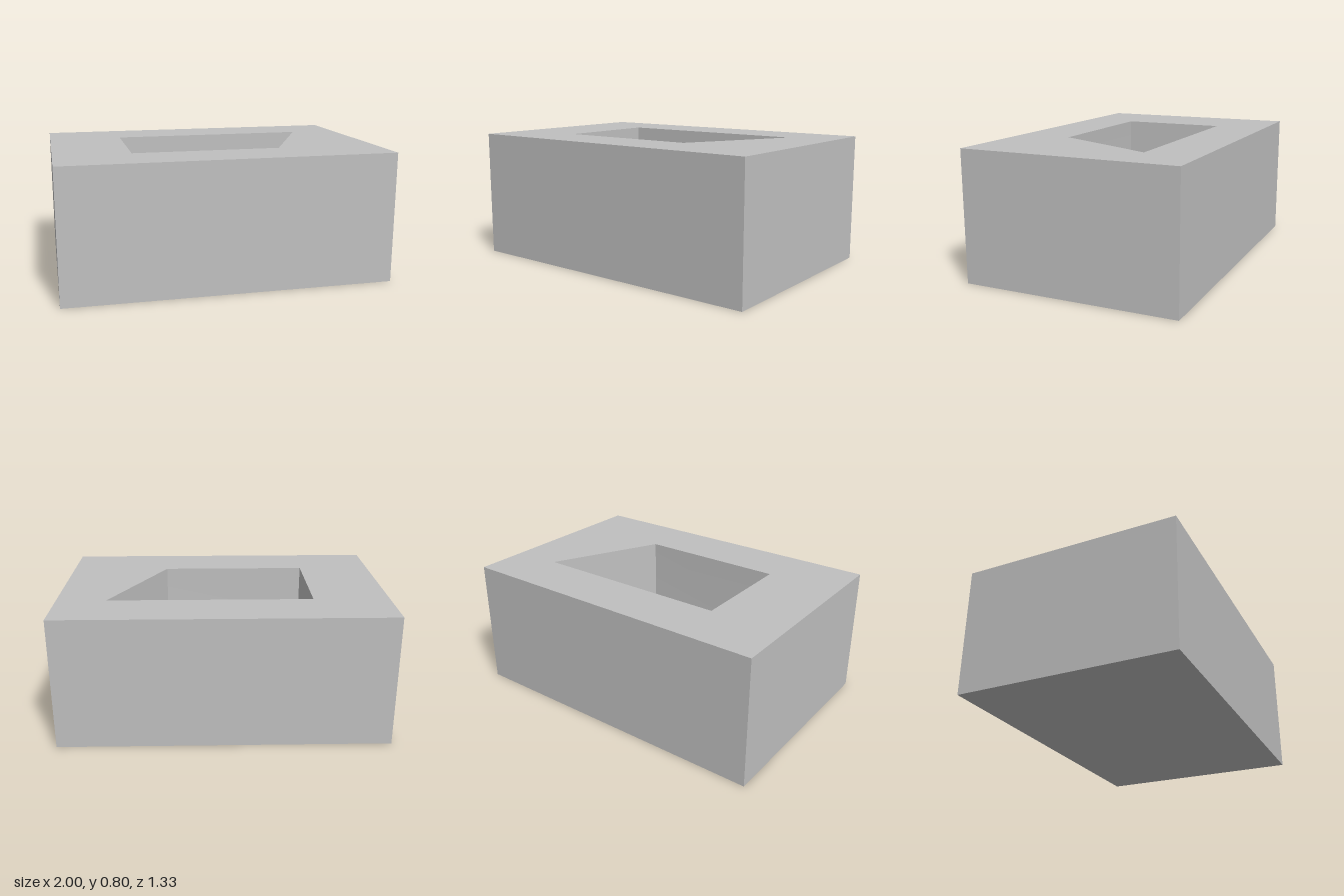
import * as THREE from 'three';
import { toCreasedNormals } from 'three/addons/utils/BufferGeometryUtils.js';

const W = 2, H = 0.803, D = 1.333;        // block size
const LEFT = -0.54, HALF = 0.333;         // pocket's straight end and half width
const FLOOR = 0.27, R = 0.133;            // pocket floor height and fillet radius
const slant = (z) => 0.535 - 0.495 * z;   // pocket's slanted end

// Outer block without its top face
function blockGeometry() {
  const geo = new THREE.BoxGeometry(W, H, D);
  const index = Array.from(geo.index.array);
  index.splice(12, 6);
  geo.setIndex(index);
  geo.clearGroups();
  return geo.translate(0, H / 2, 0);
}

// Top face with the trapezoid opening
function topGeometry() {
  const corners = (pts) => pts.map(([x, z]) => new THREE.Vector2(x, -z));
  const shape = new THREE.Shape(corners([[-W / 2, D / 2], [W / 2, D / 2], [W / 2, -D / 2], [-W / 2, -D / 2]]));
  shape.holes.push(new THREE.Path(corners([
    [LEFT, -HALF], [slant(-HALF), -HALF], [slant(HALF), HALF], [LEFT, HALF],
  ])));
  return new THREE.ShapeGeometry(shape).rotateX(-Math.PI / 2).translate(0, H, 0);
}

// Pocket walls and floor, from a (z, y) section with a rounded front lower edge
function pocketGeometry() {
  const section = [[-HALF, H], [-HALF, FLOOR]];
  const steps = 20;
  for (let i = 0; i <= steps; i++) {
    const a = (i / steps) * Math.PI / 2;
    section.push([HALF - R + R * Math.sin(a), FLOOR + R - R * Math.cos(a)]);
  }
  section.push([HALF, H]);

  const pos = [];
  const left = ([z, y]) => [LEFT, y, z];
  const right = ([z, y]) => [slant(z), y, z];
  const tri = (...pts) => pts.forEach((p) => pos.push(...p));
  for (let i = 0; i < section.length - 1; i++) {
    const a = section[i], b = section[i + 1];
    tri(left(a), left(b), right(b));
    tri(left(a), right(b), right(a));
    // End walls as fans
    if (i > 0) {
      tri(left(section[0]), left(b), left(a));
      tri(right(section[0]), right(a), right(b));
    }
  }
  const geo = new THREE.BufferGeometry();
  geo.setAttribute('position', new THREE.Float32BufferAttribute(pos, 3));
  return toCreasedNormals(geo, Math.PI / 6);
}

export function createModel() {
  const group = new THREE.Group();
  group.name = 'pocketBlock';
  const grey = new THREE.MeshStandardMaterial({ color: 0xc0c0c0 });
  grey.name = 'grey';
  const add = (name, geo) => {
    const mesh = new THREE.Mesh(geo, grey);
    mesh.name = name;
    group.add(mesh);
  };
  add('blockSides', blockGeometry());
  add('topFace', topGeometry());
  add('pocket', pocketGeometry());
  return group;
}
